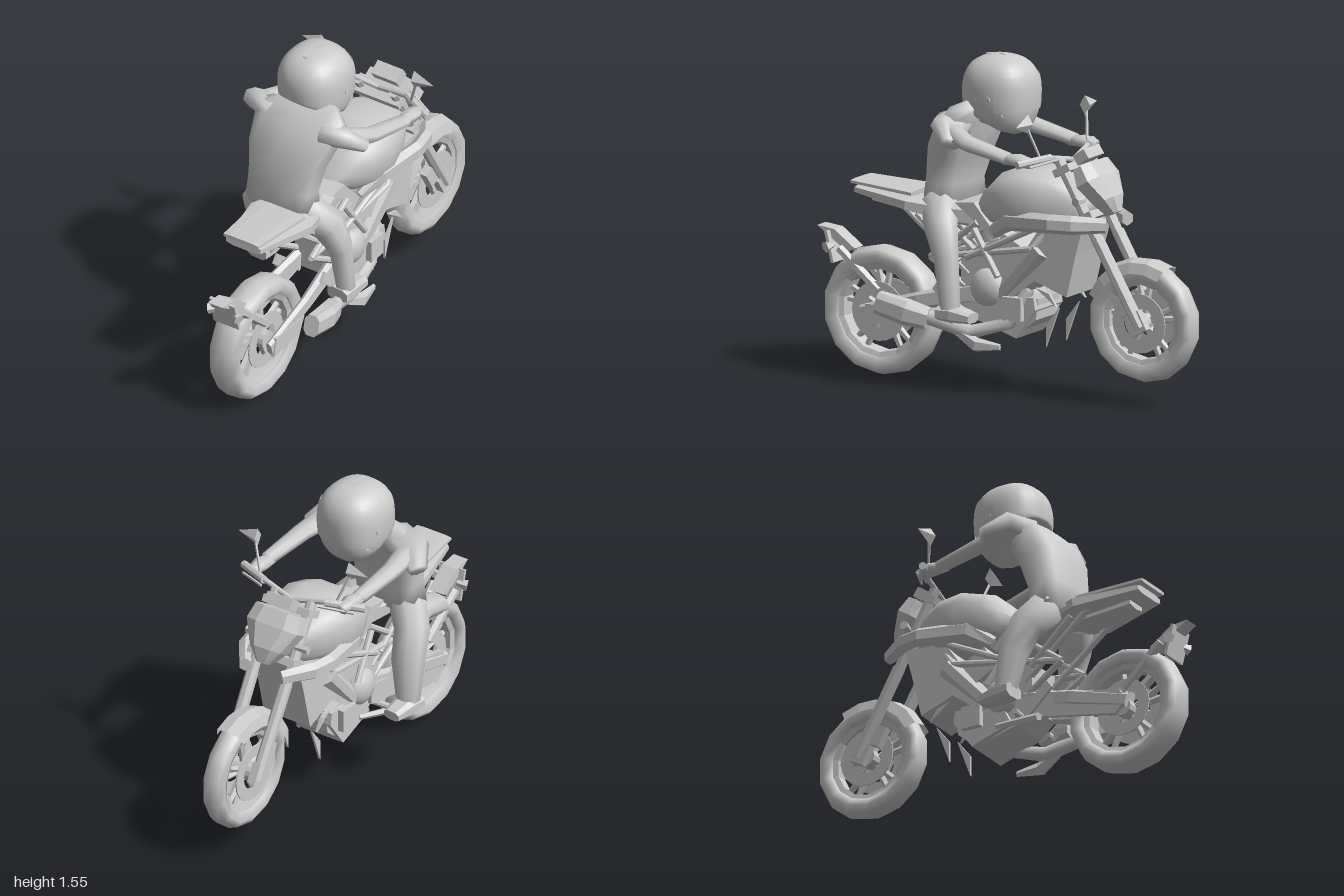
import * as THREE from 'three';

const smooth = new THREE.MeshStandardMaterial({ color: 0xcccccc, side: THREE.DoubleSide });
const flat = new THREE.MeshStandardMaterial({ color: 0xcccccc, side: THREE.DoubleSide, flatShading: true });
const V = (p) => new THREE.Vector3(p[0], p[1], p[2]);

function add(parent, name, geo, mat = flat) {
  const mesh = new THREE.Mesh(geo, mat);
  mesh.name = name;
  parent.add(mesh);
}

// Skin over stations [x, y, z, half width, half depth]; power < 1 squares the section
function loft(stations, sides = 10, power = 1) {
  const pos = [], index = [], n = stations.length;
  const bend = (c) => Math.sign(c) * Math.pow(Math.abs(c), power);
  stations.forEach((s, i) => {
    const t = V(stations[Math.min(i + 1, n - 1)]).sub(V(stations[Math.max(i - 1, 0)])).normalize();
    const u = new THREE.Vector3(1, 0, 0).addScaledVector(t, -t.x).normalize();
    const v = t.clone().cross(u);
    for (let j = 0; j < sides; j++) {
      const a = ((j + 0.5) / sides) * Math.PI * 2;
      const p = V(s).addScaledVector(u, s[3] * bend(Math.cos(a))).addScaledVector(v, s[4] * bend(Math.sin(a)));
      pos.push(p.x, p.y, p.z);
      if (i < n - 1) {
        const k = (j + 1) % sides, r = i * sides;
        index.push(r + j, r + k, r + sides + k, r + j, r + sides + k, r + sides + j);
      }
    }
  });
  for (const i of [0, n - 1]) {
    const c = pos.length / 3;
    pos.push(...stations[i].slice(0, 3));
    for (let j = 0; j < sides; j++) {
      const a = i * sides + j, b = i * sides + ((j + 1) % sides);
      index.push(c, i ? a : b, i ? b : a);
    }
  }
  const geo = new THREE.BufferGeometry();
  geo.setAttribute('position', new THREE.Float32BufferAttribute(pos, 3));
  geo.setIndex(index);
  geo.computeVertexNormals();
  return geo;
}

const rod = (a, b, r, r2 = r, sides = 8) => loft([[...a, r, r], [...b, r2, r2]], sides);

// Side outline of [z, y] points given a width across x
function plate(points, width, x = 0) {
  const shape = new THREE.Shape(points.map(([z, y]) => new THREE.Vector2(z, y)));
  const geo = new THREE.ExtrudeGeometry(shape, { depth: width, bevelEnabled: false });
  return geo.translate(0, 0, -width / 2).rotateY(-Math.PI / 2).translate(x, 0, 0);
}

function box(w, h, d, x, y, z, tilt = 0) {
  return new THREE.BoxGeometry(w, h, d).rotateX(tilt).translate(x, y, z);
}

// [radius, x] profile turned about the x axis, angles running from +z up to +y
function turn(points, segments, start = -Math.PI / 2, length = Math.PI * 2) {
  const p = points.map(([r, x]) => new THREE.Vector2(r, x));
  return new THREE.LatheGeometry(p, segments, start, length).rotateZ(Math.PI / 2);
}

function wheel(name, R, w, y, z) {
  const g = new THREE.Group();
  g.name = name;
  g.position.set(0, y, z);
  const i = R - 0.085;
  add(g, 'tyre', turn([[i, -w * 0.7], [R - 0.045, -w], [R - 0.015, -w * 0.7], [R, 0],
    [R - 0.015, w * 0.7], [R - 0.045, w], [i, w * 0.7], [i, -w * 0.7]], 14), smooth);
  add(g, 'rim', turn([[i + 0.01, -w * 0.65], [i - 0.025, -w * 0.5], [i - 0.025, w * 0.5], [i + 0.01, w * 0.65]], 14));
  add(g, 'hub', new THREE.CylinderGeometry(0.045, 0.045, 0.13, 12).rotateZ(Math.PI / 2));
  for (const s of [-1, 1]) {
    add(g, 'brakeDisc', turn([[0.08, 0.05 * s], [0.14, 0.05 * s], [0.14, 0.056 * s], [0.08, 0.056 * s]], 20));
  }
  for (let k = 0; k < 10; k++) {
    const a = (Math.floor(k / 2) / 5) * Math.PI * 2, b = a + (k % 2 ? 0.16 : -0.16);
    add(g, 'spoke', rod([0, 0.03 * Math.cos(a), 0.03 * Math.sin(a)],
      [0, (i - 0.01) * Math.cos(b), (i - 0.01) * Math.sin(b)], 0.02, 0.014, 5));
  }
  return g;
}

function buildBike() {
  const bike = new THREE.Group();
  bike.name = 'motorcycle';
  bike.add(wheel('rearWheel', 0.305, 0.083, 0.305, 0.665), wheel('frontWheel', 0.285, 0.06, 0.392, -0.72));
  add(bike, 'frontMudguard', turn([[0.235, -0.075], [0.285, -0.06], [0.3, 0], [0.285, 0.06], [0.235, 0.075]], 5, 0.4, 1.65)
    .translate(0, 0.392, -0.72));

  // Tank, side panel and seat
  add(bike, 'tank', loft([[0, 0.855, 0.13, 0.07, 0.02], [0, 0.87, 0.05, 0.15, 0.09], [0, 0.895, -0.04, 0.2, 0.14],
    [0, 0.92, -0.15, 0.215, 0.15], [0, 0.92, -0.26, 0.195, 0.14], [0, 0.905, -0.36, 0.14, 0.115],
    [0, 0.88, -0.44, 0.08, 0.07]], 12, 0.72), smooth);
  add(bike, 'sidePanel', plate([[0.22, 0.87], [0.12, 0.88], [0, 0.74], [0.02, 0.72]], 0.24));
  add(bike, 'seat', loft([[0, 0.8, 0.06, 0.08, 0.06], [0, 0.81, 0.25, 0.13, 0.05], [0, 0.84, 0.46, 0.175, 0.035],
    [0, 0.87, 0.77, 0.1, 0.02]], 8, 0.6));
  add(bike, 'pillionPad', loft([[0, 0.885, 0.45, 0.13, 0.012], [0, 0.905, 0.79, 0.1, 0.01]], 8, 0.5));
  add(bike, 'tailUnderside', loft([[0, 0.8, 0.4, 0.09, 0.03], [0, 0.83, 0.7, 0.06, 0.02]], 6));

  // Engine and radiator
  add(bike, 'radiator', plate([[-0.02, 0.48], [-0.05, 0.43], [-0.21, 0.55], [-0.38, 0.49], [-0.43, 0.7],
    [-0.47, 0.84], [-0.25, 0.82]], 0.26));
  add(bike, 'engineBlock', plate([[0.2, 0.63], [0.2, 0.4], [0.12, 0.33], [-0.1, 0.28], [-0.2, 0.36], [-0.21, 0.46],
    [-0.08, 0.47], [-0.19, 0.66], [0, 0.72]], 0.2));
  add(bike, 'cylinderHead', box(0.26, 0.13, 0.16, 0, 0.66, -0.08, -0.5));
  add(bike, 'bellyPan', plate([[0.1, 0.34], [-0.11, 0.27], [-0.21, 0.41], [-0.2, 0.47], [0.05, 0.44]], 0.25));

  for (const s of [-1, 1]) {
    add(bike, 'sideShroud', loft([[0.13 * s, 0.76, 0.01, 0.02, 0.03], [0.175 * s, 0.83, -0.1, 0.035, 0.05],
      [0.21 * s, 0.845, -0.34, 0.035, 0.045], [0.19 * s, 0.845, -0.44, 0.035, 0.045],
      [0.1 * s, 0.84, -0.57, 0.03, 0.035]], 6));
    add(bike, 'clutchCover', new THREE.SphereGeometry(0.09, 12, 8).scale(0.6, 1, 1).translate(0.11 * s, 0.49, 0.05), smooth);
    add(bike, 'crankCover', box(0.05, 0.11, 0.1, 0.13 * s, 0.41, -0.1));
    add(bike, 'cylinder', rod([0.09 * s, 0.46, -0.02], [0.11 * s, 0.7, -0.24], 0.05, 0.055));

    // Tubular frame
    const tubes = [[[0.1, 0.84, 0.52], [0.09, 0.54, 0.16]], [[0.12, 0.8, 0.42], [0.11, 0.6, 0.2]],
      [[0.1, 0.6, 0.36], [0.14, 0.7, -0.2]], [[0.14, 0.7, -0.2], [0.06, 0.93, -0.38]],
      [[0.12, 0.62, 0.16], [0.15, 0.8, -0.22]], [[0.12, 0.76, 0.12], [0.14, 0.55, -0.02]],
      [[0.1, 0.6, 0.36], [0.12, 0.79, 0.1]], [[0.09, 0.48, 0.18], [0.1, 0.6, 0.36]]];
    for (const [a, b] of tubes) {
      add(bike, 'frameTube', rod([a[0] * s, a[1], a[2]], [b[0] * s, b[1], b[2]], 0.016));
    }
    add(bike, 'swingarm', loft([[0.08 * s, 0.45, 0.14, 0.025, 0.05], [0.11 * s, 0.39, 0.42, 0.02, 0.04],
      [0.11 * s, 0.305, 0.72, 0.015, 0.035]], 6, 0.6));
    add(bike, 'footPeg', rod([0.1 * s, 0.35, 0.16], [0.22 * s, 0.34, 0.18], 0.015));
    add(bike, 'pegBracket', plate([[0.3, 0.5], [0.33, 0.46], [0.18, 0.32], [0.14, 0.36]], 0.015, 0.13 * s));

    // Front fork and controls
    add(bike, 'forkTube', rod([0.1 * s, 1.13, -0.32], [0.095 * s, 0.72, -0.55], 0.026));
    add(bike, 'forkLower', rod([0.095 * s, 0.78, -0.52], [0.09 * s, 0.38, -0.75], 0.03));
    add(bike, 'axleClamp', box(0.04, 0.1, 0.08, 0.085 * s, 0.4, -0.73, 0.5));
    add(bike, 'brakeCaliper', box(0.04, 0.1, 0.06, 0.075 * s, 0.47, -0.64, 0.5));
    add(bike, 'handlebar', rod([0, 1.11, -0.34], [0.2 * s, 1.15, -0.31], 0.013));
    add(bike, 'grip', rod([0.17 * s, 1.145, -0.32], [0.34 * s, 1.13, -0.24], 0.019));
    add(bike, 'brakeLever', rod([0.16 * s, 1.14, -0.36], [0.31 * s, 1.12, -0.29], 0.007, 0.007, 5));
    add(bike, 'mirrorStalk', rod([0.21 * s, 1.14, -0.29], [0.27 * s, 1.3, -0.25], 0.007, 0.007, 5));
    add(bike, 'mirror', new THREE.ConeGeometry(0.045, 0.11, 4).rotateZ((-Math.PI / 2) * s).scale(1, 1, 0.6)
      .translate(0.31 * s, 1.31, -0.25));
    add(bike, 'frontIndicator', rod([0.1 * s, 0.95, -0.46], [0.17 * s, 0.95, -0.45], 0.012, 0.022, 6));
    add(bike, 'plateStay', rod([0.045 * s, 0.4, 0.67], [0.06 * s, 0.58, 0.87], 0.026, 0.022, 6));
    add(bike, 'rearIndicator', rod([0.04 * s, 0.59, 0.91], [0.085 * s, 0.58, 0.93], 0.012, 0.028, 5));
    add(bike, 'lowerFin', plate([[-0.25, 0.24], [-0.25, 0.34], [-0.32, 0.43]], 0.012, 0.09 * s));
    add(bike, 'radiatorFin', plate([[-0.22, 0.52], [-0.29, 0.5], [-0.33, 0.44]], 0.015, 0.13 * s));
  }
  for (const [y, z] of [[1.08, -0.35], [0.87, -0.47]]) {
    add(bike, 'forkClamp', box(0.26, 0.035, 0.09, 0, y, z, 0.5));
  }

  // Headlamp, wide above and narrow below, and instruments
  add(bike, 'headlamp', loft([[0, 1.1, -0.43, 0.13, 0.045], [0, 1.03, -0.47, 0.15, 0.065], [0, 0.94, -0.53, 0.09, 0.06],
    [0, 0.88, -0.56, 0.035, 0.035]], 8, 0.7));
  add(bike, 'instruments', box(0.14, 0.05, 0.07, 0, 1.14, -0.42, 0.6));

  // Number plate holder, exhaust, chain side and stand
  add(bike, 'plateHolder', box(0.14, 0.15, 0.015, 0, 0.58, 0.92, 0.25));
  add(bike, 'tailLamp', plate([[1, 0.67], [0.91, 0.66], [0.8, 0.58], [0.84, 0.56]], 0.08));
  add(bike, 'exhaustPipe', loft([[0.1, 0.5, -0.16, 0.03, 0.03], [0.13, 0.34, -0.08, 0.03, 0.03],
    [0.15, 0.28, 0.12, 0.035, 0.035], [0.19, 0.34, 0.33, 0.035, 0.035]], 8), smooth);
  add(bike, 'muffler', loft([[0.19, 0.33, 0.32, 0.045, 0.05], [0.22, 0.355, 0.42, 0.05, 0.06],
    [0.235, 0.39, 0.56, 0.04, 0.055]], 8, 0.7));
  add(bike, 'chain', plate([[0.12, 0.46], [0.68, 0.37], [0.72, 0.31], [0.66, 0.25], [0.12, 0.36]], 0.02, -0.11));
  add(bike, 'chainGuard', plate([[0.46, 0.35], [0.69, 0.35], [0.71, 0.26], [0.5, 0.27]], 0.02, 0.12));
  add(bike, 'sideStand', rod([-0.12, 0.34, 0.02], [-0.2, 0.29, 0.3], 0.014, 0.02, 5));
  add(bike, 'shiftPedal', loft([[0.16, 0.29, 0.2, 0.02, 0.02], [0.18, 0.23, 0.07, 0.03, 0.035], [0.17, 0.23, -0.05, 0.01, 0.015]], 5));
  bike.rotation.y = 0.073;
  bike.position.x = 0.028;
  return bike;
}

// Squared-off ball cut below by a plane that falls toward the chin
function helmetForm(geo, scale) {
  const p = geo.attributes.position;
  for (let i = 0; i < p.count; i++) {
    const d = V([p.getX(i), p.getY(i), p.getZ(i)]);
    const norm = Math.pow(Math.abs(d.x) ** 2.5 + Math.abs(d.y) ** 2.5 + Math.abs(d.z) ** 2.5, 0.4);
    d.multiplyScalar(scale / norm);
    const z = d.z * 0.174;
    p.setXYZ(i, d.x * 0.16, Math.max(d.y * (d.y < 0 ? 0.22 : 0.17), -0.132 + 0.55 * z), z);
  }
  geo.computeVertexNormals();
  return geo;
}

function buildRider() {
  const rider = new THREE.Group();
  rider.name = 'rider';
  add(rider, 'torso', loft([[-0.02, 0.83, 0.34, 0.19, 0.1], [-0.02, 0.95, 0.335, 0.18, 0.09], [-0.02, 1.09, 0.305, 0.2, 0.105],
    [-0.01, 1.2, 0.25, 0.225, 0.095], [-0.01, 1.27, 0.205, 0.24, 0.065], [-0.02, 1.305, 0.17, 0.17, 0.04]], 10, 0.7), smooth);
  add(rider, 'neck', rod([-0.02, 1.24, 0.16], [-0.03, 1.38, 0.1], 0.08, 0.08, 10), smooth);

  // Flared sleeves over thin flat arms
  for (const [name, s, x, tip] of [['leftSleeve', 1, 0.235, 0.3], ['rightSleeve', -1, 0.27, 0.35]]) {
    add(rider, name, loft([[0.13 * s, 1.235, 0.235, 0.085, 0.055], [x * s, 1.225, 0.2, 0.085, 0.05],
      [tip * s, 1.175, 0.14, 0.045, 0.03]], 8, 0.8), smooth);
  }
  add(rider, 'leftArm', loft([[0.23, 1.22, 0.2, 0.06, 0.05], [0.27, 1.18, 0.06, 0.05, 0.035], [0.285, 1.14, -0.17, 0.04, 0.028]], 8), smooth);
  add(rider, 'rightArm', loft([[-0.25, 1.22, 0.2, 0.06, 0.05], [-0.26, 1.18, 0.06, 0.05, 0.035], [-0.255, 1.14, -0.17, 0.04, 0.028]], 8), smooth);
  for (const x of [-0.25, 0.28]) {
    add(rider, 'hand', loft([[x, 1.135, -0.14, 0.03, 0.025], [x, 1.14, -0.22, 0.045, 0.03], [x, 1.13, -0.29, 0.03, 0.025]], 7), smooth);
  }

  // Legs and boots
  add(rider, 'leftLeg', loft([[0.1, 0.84, 0.34, 0.09, 0.09], [0.19, 0.76, 0.27, 0.075, 0.085], [0.22, 0.62, 0.22, 0.055, 0.06],
    [0.23, 0.38, 0.19, 0.045, 0.05]], 8), smooth);
  add(rider, 'rightLeg', loft([[-0.12, 0.84, 0.34, 0.09, 0.09], [-0.2, 0.74, 0.28, 0.085, 0.085], [-0.225, 0.6, 0.22, 0.085, 0.065],
    [-0.25, 0.38, 0.19, 0.055, 0.05]], 8), smooth);
  for (const [x, y] of [[-0.25, 0.4], [0.22, 0.365]]) {
    add(rider, 'boot', loft([[x, y, 0.245, 0.06, 0.035], [x, y, 0.17, 0.06, 0.04], [x, y - 0.01, 0.07, 0.045, 0.025]], 8, 0.7));
  }

  const helmet = new THREE.Group();
  helmet.name = 'helmet';
  helmet.position.set(-0.03, 1.38, 0.085);
  add(helmet, 'shell', helmetForm(new THREE.SphereGeometry(1, 28, 24), 1), smooth);
  add(helmet, 'visor', helmetForm(new THREE.SphereGeometry(1, 18, 8, Math.PI * 1.12, Math.PI * 0.76, 1.1, 0.8), 1.025), smooth);
  add(helmet, 'crestStrip', plate([[0.09, 0.15], [0.08, 0.165], [-0.02, 0.173], [-0.1, 0.15], [-0.1, 0.13]], 0.025));
  for (const s of [-1, 1]) {
    add(helmet, 'visorPivot', new THREE.CylinderGeometry(0.016, 0.016, 0.012, 12).rotateZ(Math.PI / 2).translate(0.157 * s, -0.02, -0.03));
    add(helmet, 'chinVent', box(0.012, 0.02, 0.06, 0.134 * s, -0.1, -0.07, 0.5));
  }
  rider.add(helmet);
  return rider;
}

export function createModel() {
  const model = new THREE.Group();
  model.name = 'motorcycleWithRider';
  model.add(buildBike(), buildRider());
  return model;
}
